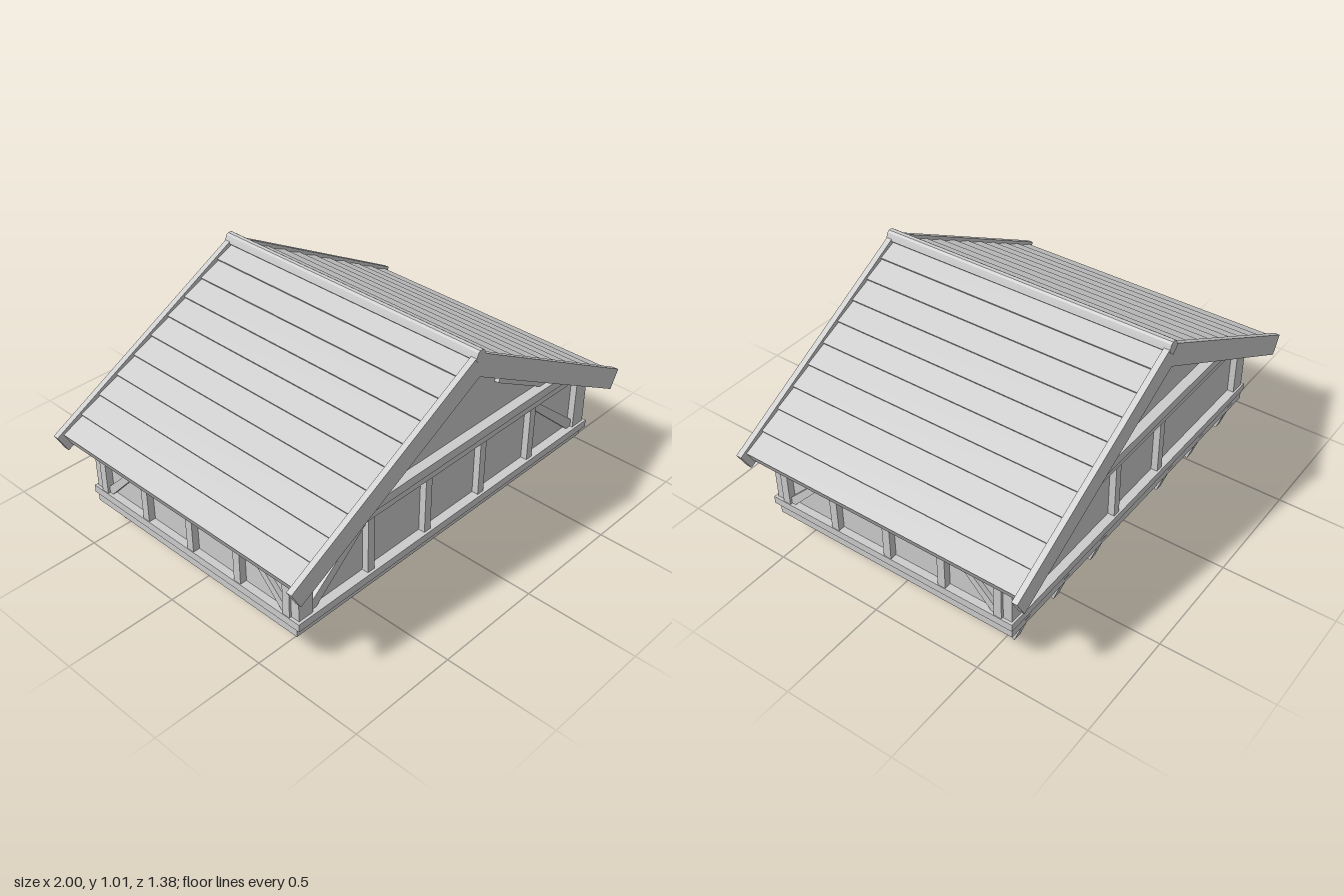
import * as THREE from 'three';

export function createModel() {
  const model = new THREE.Group();
  const timber = new THREE.MeshStandardMaterial({ color: 0xcccccc });
  timber.name = 'light grey timber';

  const add = (name, geometry) => {
    const mesh = new THREE.Mesh(geometry, timber);
    mesh.name = name;
    model.add(mesh);
    return mesh;
  };
  // box given by its limits on each axis, in either order
  const box = (name, x0, x1, y0, y1, z0, z1) => {
    const g = new THREE.BoxGeometry(Math.abs(x1 - x0), Math.abs(y1 - y0), Math.abs(z1 - z0));
    return add(name, g.translate((x0 + x1) / 2, (y0 + y1) / 2, (z0 + z1) / 2));
  };
  // outline in x, y drawn out along z
  const prism = (name, points, z0, z1) => {
    const shape = new THREE.Shape(points.map(([x, y]) => new THREE.Vector2(x, y)));
    const g = new THREE.ExtrudeGeometry(shape, { depth: z1 - z0, bevelEnabled: false });
    return add(name, g.translate(0, 0, z0));
  };
  // point on a roof slope: d down from the ridge, t out along the normal
  const a = Math.atan(0.541), apex = 0.996;
  const slope = (s, d, t) => [
    s * (d * Math.cos(a) + t * Math.sin(a)),
    apex - d * Math.sin(a) + t * Math.cos(a),
  ];
  const strip = (name, s, d0, d1, t0, t1, z0, z1) =>
    prism(name, [slope(s, d0, t0), slope(s, d1, t0), slope(s, d1, t1), slope(s, d0, t1)], z0, z1);

  // floor and sills
  box('floor', -0.89, 0.89, 0.12, 0.166, -0.584, 0.595);
  box('frontSill', -0.9, 0.9, 0.165, 0.2, 0.565, 0.617);
  box('backSill', -0.9, 0.9, 0.165, 0.2, -0.591, -0.54);
  for (const s of [-1, 1]) box('sideSill', s * 0.84, s * 0.9, 0.165, 0.2, -0.54, 0.565);

  // gable walls, front and back
  for (const f of [1, -1]) {
    const face = f > 0 ? 0.605 : -0.582;
    const inner = face - f * 0.04;
    const panel = face - f * 0.03;
    const [pz0, pz1] = [panel, panel - f * 0.02].sort((p, q) => p - q);
    prism('gablePanel', [[-0.87, 0.19], [0.87, 0.19], [0.87, 0.44], [0, 0.92], [-0.87, 0.44]], pz0, pz1);

    const posts = f > 0 ? [0.168, 0.498, 0.832] : [0.168, 0.832];
    for (const s of [-1, 1]) {
      for (const x of posts) box('gablePost', s * x - 0.018, s * x + 0.018, 0.2, 0.46, inner, face);
      box('cornerPost', s * 0.85, s * 0.887, 0.2, 0.44, inner, face);
      // rafters beside the gable, with a deeper lower length
      const [rz0, rz1] = [panel - f * 0.005, panel + f * 0.025].sort((p, q) => p - q);
      strip('gableRafter', s, 0.04, 1.0, -0.12, -0.075, rz0, rz1);
      strip('rafterStiffener', s, 0.36, 0.8, -0.142, -0.1, rz0 + 0.005, rz1 - 0.005);
      if (f > 0) {
        prism('frontBrace', [[s * 0.82, 0.195], [s * 0.82, 0.23], [s * 0.535, 0.465], [s * 0.495, 0.465]]
          .concat([[s * 0.495, 0.455], [s * 0.79, 0.195]]), panel - 0.005, panel + 0.018);
      }
    }
    box('lowerTieBeam', -0.8, 0.8, 0.46, 0.5, inner, face + f * 0.004);
    box('upperTieBeam', -0.73, 0.73, 0.5, 0.54, inner, face + f * 0.016);
  }

  // eave walls
  for (const s of [-1, 1]) {
    box('sidePanel', s * 0.85, s * 0.866, 0.19, 0.45, -0.56, 0.58);
    box('wallPlate', s * 0.85, s * 0.893, 0.405, 0.445, -0.58, 0.6);
    for (const z of [0.547, 0.282, 0.012, -0.257, -0.522]) {
      box('sidePost', s * 0.855, s * 0.897, 0.2, 0.43, z - 0.018, z + 0.018);
    }
    // diagonal braces in the end bays
    for (const [z, dir] of [[0.535, -1], [-0.51, 1]]) {
      const outline = [[0, 0.195], [0, 0.225], [0.205, 0.43], [0.24, 0.43], [0.02, 0.195]];
      const shape = new THREE.Shape(outline.map(([u, y]) => new THREE.Vector2(-(z + dir * u), y)));
      const g = new THREE.ExtrudeGeometry(shape, { depth: 0.03, bevelEnabled: false });
      g.rotateY(Math.PI / 2).translate(s > 0 ? 0.856 : -0.886, 0, 0);
      add('sideBrace', g);
    }
  }

  // roof slopes with lapped boards and bargeboards
  const eave = 1.109, step = 0.1097;
  for (const s of [-1, 1]) {
    strip('roofSlab', s, 0, eave, -0.08, -0.024, -0.662, 0.662);
    for (let i = 0; i < 10; i++) {
      const d0 = eave - (10 - i) * step, d1 = d0 + step;
      prism('roofBoard', [slope(s, d0, -0.03), slope(s, d1, -0.03), slope(s, d1, -0.012), slope(s, d0, -0.022)],
        -0.662, 0.662);
    }
    strip('bargeboard', s, 0, 1.137, -0.094, 0, 0.662, 0.688);
    strip('bargeboard', s, 0, 1.137, -0.094, 0, -0.688, -0.662);
  }

  // ridge cap
  const half = [[0.03, 0.973], [0.024, 0.99], [0.019, 1.002], [0.009, 1.009]];
  prism('ridgeCap', [[0, 0.945], ...half, ...half.map(([x, y]) => [-x, y]).reverse()], -0.69, 0.69);

  // slanted struts under the back edge
  for (const s of [-1, 1]) {
    for (const x of [0.262, 0.527, 0.79]) {
      const strut = add('backStrut', new THREE.BoxGeometry(0.037, 0.15, 0.039));
      strut.rotation.x = -0.34;
      strut.position.set(s * x, 0.077, -0.542);
    }
  }
  return model;
}
